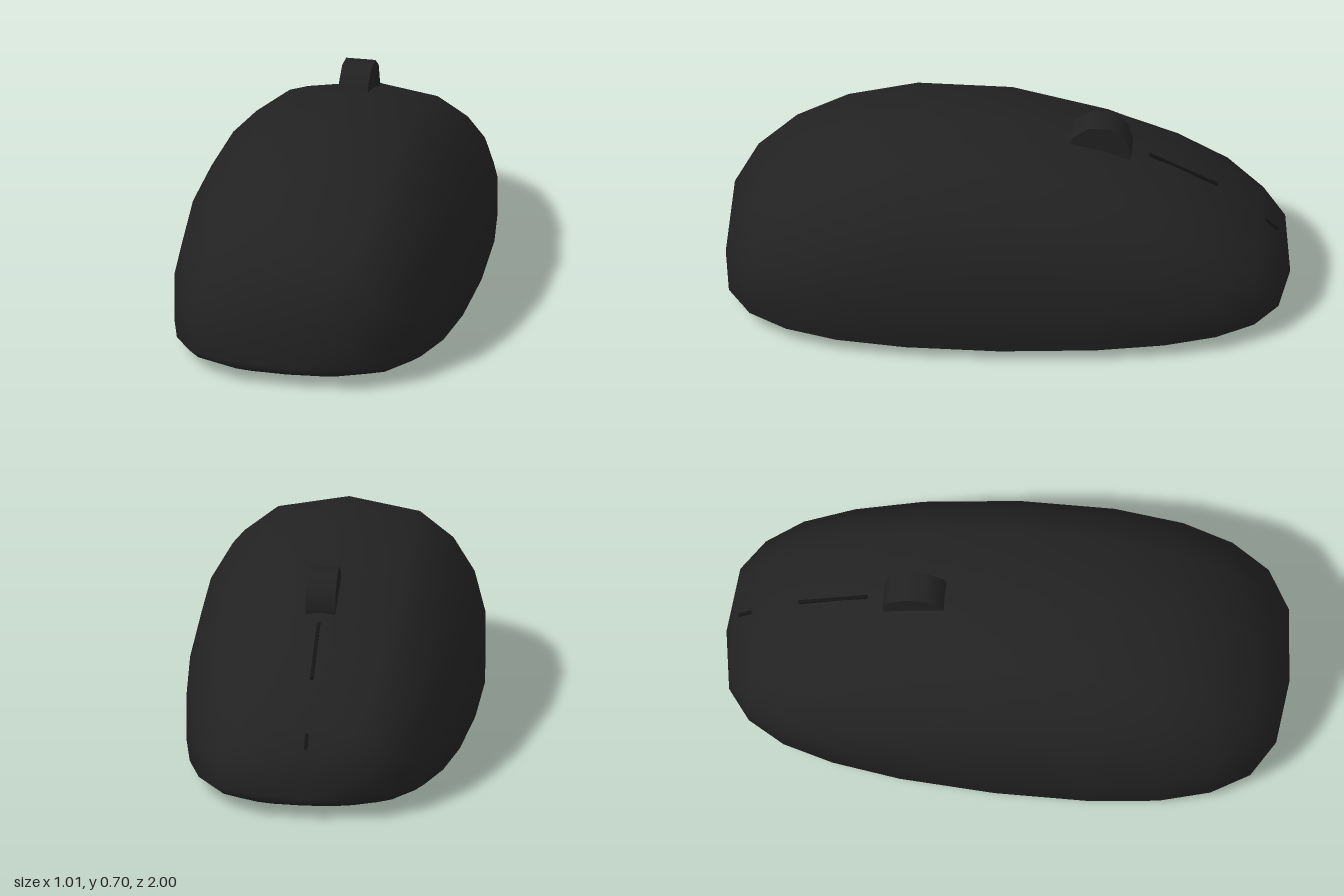
import * as THREE from 'three';

// Body stations: z, half width, top height, bottom height
const stations = [
  [0.975, 0.24, 0.31, 0.045],
  [0.895, 0.365, 0.44, 0.03],
  [0.76, 0.44, 0.555, 0.02],
  [0.58, 0.485, 0.643, 0.012],
  [0.335, 0.507, 0.7, 0.006],
  [0, 0.507, 0.695, 0.002],
  [-0.34, 0.486, 0.614, 0.006],
  [-0.58, 0.45, 0.522, 0.012],
  [-0.76, 0.4, 0.425, 0.02],
  [-0.89, 0.325, 0.315, 0.03],
  [-0.97, 0.22, 0.235, 0.045],
];

// Half section from the lower edge up: fraction of width, fraction of height
const upper = [[1, 0], [1, 0.29], [0.92, 0.55], [0.765, 0.76], [0.52, 0.92], [0, 1]];
// Underside from its centre line out
const lower = [[0, 0], [0.52, 0.08], [0.765, 0.2], [0.92, 0.48]];

function sectionPoints([z, w, top, bottom]) {
  const edge = bottom + 0.042;
  const up = upper.map(([fx, fy]) => [fx * w, edge + fy * (top - edge), z]);
  const low = lower.map(([fx, fy]) => [fx * w, bottom + fy * (edge - bottom), z]);
  const mirror = ([x, y, zz]) => [-x, y, zz];
  return [
    ...up,
    ...up.slice(0, -1).reverse().map(mirror),
    ...low.slice(1).reverse().map(mirror),
    ...low,
  ];
}

// Skin the sections and close each end to a single point
function bodyGeometry() {
  const rings = stations.map(sectionPoints);
  const n = rings[0].length;
  const points = rings.flat();
  const front = points.push([0, 0.075, 1]) - 1;
  const back = points.push([0, 0.075, -1]) - 1;
  const last = (rings.length - 1) * n;
  const index = [];
  for (let j = 0; j < n; j++) {
    const k = (j + 1) % n;
    index.push(front, j, k, back, last + k, last + j);
    for (let i = 0; i < rings.length - 1; i++) {
      const a = i * n + j, b = i * n + k;
      index.push(a, a + n, b, b, a + n, b + n);
    }
  }
  const g = new THREE.BufferGeometry();
  g.setAttribute('position', new THREE.Float32BufferAttribute(points.flat(), 3));
  g.setIndex(index);
  g.computeVertexNormals();
  return g;
}

export function createModel() {
  const group = new THREE.Group();
  const shell = new THREE.MeshStandardMaterial({ color: 0x222222 });
  shell.name = 'charcoal shell';
  const gap = new THREE.MeshStandardMaterial({ color: 0x141414 });
  gap.name = 'dark gap';

  const add = (name, geometry, material) => {
    const mesh = new THREE.Mesh(geometry, material);
    mesh.name = name;
    group.add(mesh);
    return mesh;
  };

  add('body', bodyGeometry(), shell);

  // Ten-sided scroll wheel sunk into the shell
  const wheel = add('scrollWheel', new THREE.CylinderGeometry(0.116, 0.116, 0.106, 10), shell);
  wheel.rotation.z = Math.PI / 2;
  wheel.position.set(0, 0.59, -0.325);

  // Thin split line between the two buttons
  const slit = (name, length, y, z, tilt) => {
    const mesh = add(name, new THREE.BoxGeometry(0.012, 0.008, length), gap);
    mesh.position.set(0, y, z);
    mesh.rotation.x = tilt;
  };
  slit('buttonSplit', 0.27, 0.5, -0.622, -0.46);
  slit('noseSplit', 0.06, 0.273, -0.934, -0.785);

  return group;
}
